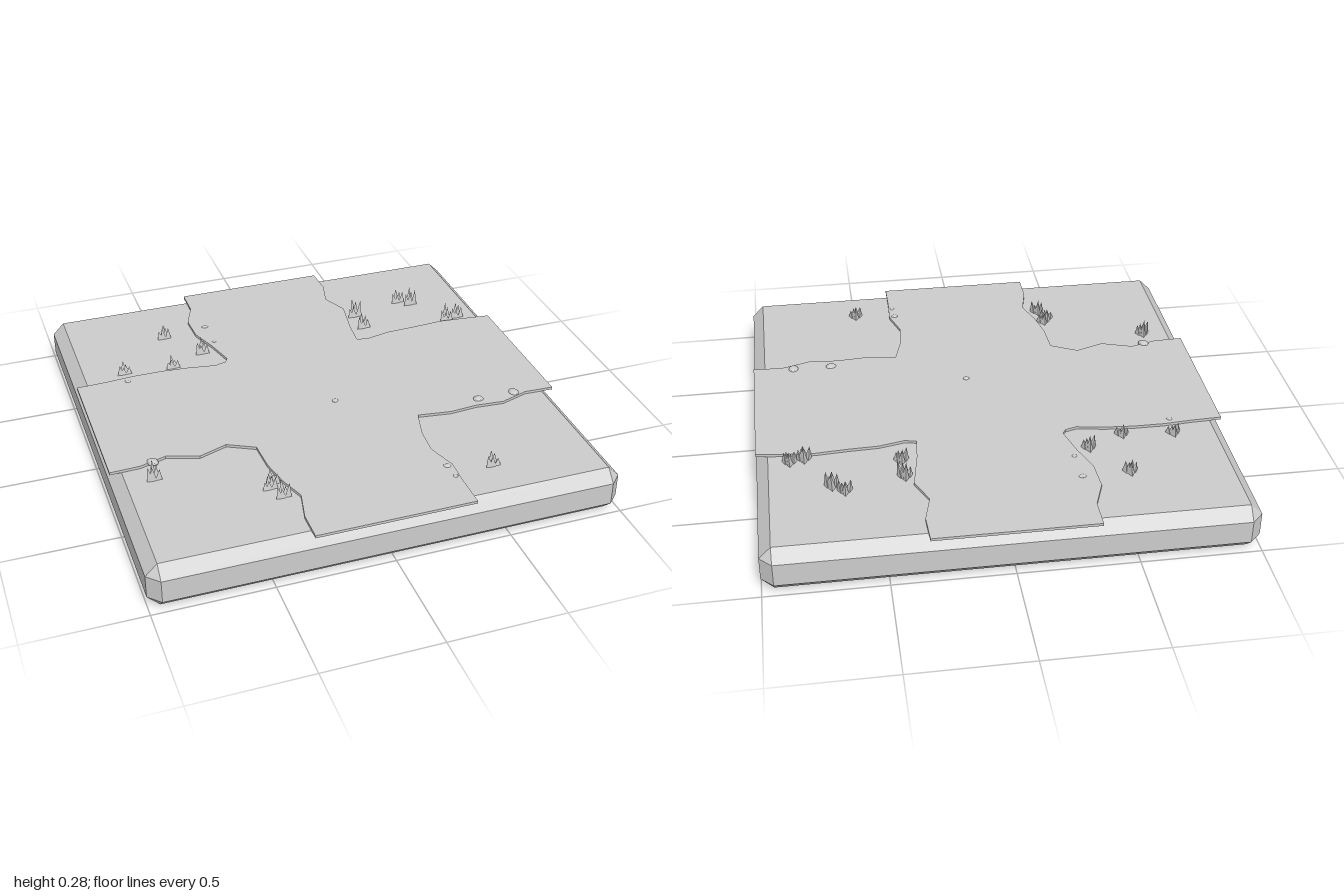
import * as THREE from 'three';
import { ConvexGeometry } from 'three/addons/geometries/ConvexGeometry.js';

// small seeded generator, returns 0..1
function seeded(seed) {
  return () => {
    seed = (seed * 16807) % 2147483647;
    return seed / 2147483647;
  };
}

export function createModel() {
  const group = new THREE.Group();
  const stone = new THREE.MeshStandardMaterial({ color: 0xcccccc, flatShading: true });
  stone.name = 'plain grey';

  const add = (name, geometry, parent = group) => {
    const mesh = new THREE.Mesh(geometry, stone);
    mesh.name = name;
    parent.add(mesh);
    return mesh;
  };

  // ground slab: a box with every edge chamfered by 0.05
  const corners = [];
  for (const x of [-1, 1]) for (const y of [-1, 1]) for (const z of [-1, 1]) {
    corners.push(
      new THREE.Vector3(x, 0.1 + y * 0.05, z * 0.95),
      new THREE.Vector3(x * 0.95, 0.1 + y * 0.1, z * 0.95),
      new THREE.Vector3(x * 0.95, 0.1 + y * 0.05, z),
    );
  }
  add('groundSlab', new ConvexGeometry(corners));

  // crossroads: thin plate with wavy inner borders, one [x, z] run per corner
  const borders = [
    [[-0.34, -1], [-0.34, -0.87], [-0.385, -0.75], [-0.38, -0.62], [-0.335, -0.495], [-0.3, -0.365],
      [-0.315, -0.34], [-0.365, -0.325], [-0.49, -0.345], [-0.61, -0.355], [-0.745, -0.355], [-0.87, -0.345], [-1, -0.34]],
    [[-1, 0.34], [-0.87, 0.335], [-0.755, 0.3], [-0.62, 0.345], [-0.495, 0.3], [-0.38, 0.36],
      [-0.375, 0.495], [-0.35, 0.62], [-0.31, 0.735], [-0.34, 0.87], [-0.34, 1]],
    [[0.34, 1], [0.34, 0.86], [0.345, 0.735], [0.305, 0.61], [0.315, 0.485], [0.35, 0.355],
      [0.495, 0.375], [0.62, 0.365], [0.745, 0.375], [0.87, 0.335], [1, 0.34]],
    [[1, -0.34], [0.87, -0.355], [0.755, -0.365], [0.615, -0.355], [0.485, -0.35], [0.375, -0.325],
      [0.325, -0.335], [0.335, -0.45], [0.365, -0.63], [0.315, -0.745], [0.345, -0.87], [0.34, -1]],
  ];
  const outline = new THREE.Shape(borders.flat().map(([x, z]) => new THREE.Vector2(x, -z)));
  const road = new THREE.ExtrudeGeometry(outline, { depth: 0.012, bevelEnabled: false });
  road.rotateX(-Math.PI / 2);
  add('crossroads', road).position.y = 0.2;

  // grass tufts: [x, z, height of tallest blade]
  const tufts = [
    [-0.525, -0.665, 0.06], [-0.39, -0.475, 0.075], [-0.77, -0.415, 0.055], [-0.55, -0.395, 0.055],
    [0.395, -0.57, 0.085], [0.4, -0.455, 0.07], [0.645, -0.635, 0.06], [0.695, -0.595, 0.08],
    [0.8, -0.39, 0.085], [0.86, -0.405, 0.065], [-0.835, 0.42, 0.085], [-0.41, 0.63, 0.06],
    [-0.39, 0.6, 0.055], [-0.375, 0.7, 0.075], [0.505, 0.775, 0.06],
  ];
  const blade = new THREE.ConeGeometry(1, 1, 3);
  blade.rotateY(Math.PI);
  blade.translate(0, 0.5, 0);
  const bladeSpots = [[0, -0.015], [-0.018, 0.008], [0.018, 0.008], [-0.004, 0.01], [0.008, -0.002]];
  const random = seeded(41);
  tufts.forEach(([x, z, height]) => {
    const tuft = new THREE.Group();
    tuft.name = 'grassTuft';
    tuft.position.set(x, 0.2, z);
    bladeSpots.forEach(([dx, dz], i) => {
      const mesh = add('grassBlade', blade, tuft);
      mesh.position.set(dx, 0, dz);
      mesh.scale.set(0.017, height * (i ? 0.55 + 0.4 * random() : 1), 0.017);
      mesh.rotation.z = -dx * 6 + (random() - 0.5) * 0.12;
    });
    group.add(tuft);
  });

  // pebbles: [x, z, radius], flattened and half sunk
  const pebbles = [
    [-0.32, -0.68, 0.017], [-0.315, -0.535, 0.013], [-0.775, -0.32, 0.014],
    [0.05, 0.13, 0.016], [-0.815, 0.32, 0.027], [0.65, 0.32, 0.025],
    [0.82, 0.32, 0.027], [0.32, 0.74, 0.017], [0.325, 0.815, 0.013],
  ];
  const pebble = new THREE.IcosahedronGeometry(1, 1);
  pebbles.forEach(([x, z, r], i) => {
    const mesh = add('pebble', pebble);
    mesh.position.set(x, 0.21, z);
    mesh.scale.set(r, r * 0.5, r * 0.85);
    mesh.rotation.y = i * 1.3;
  });

  return group;
}
